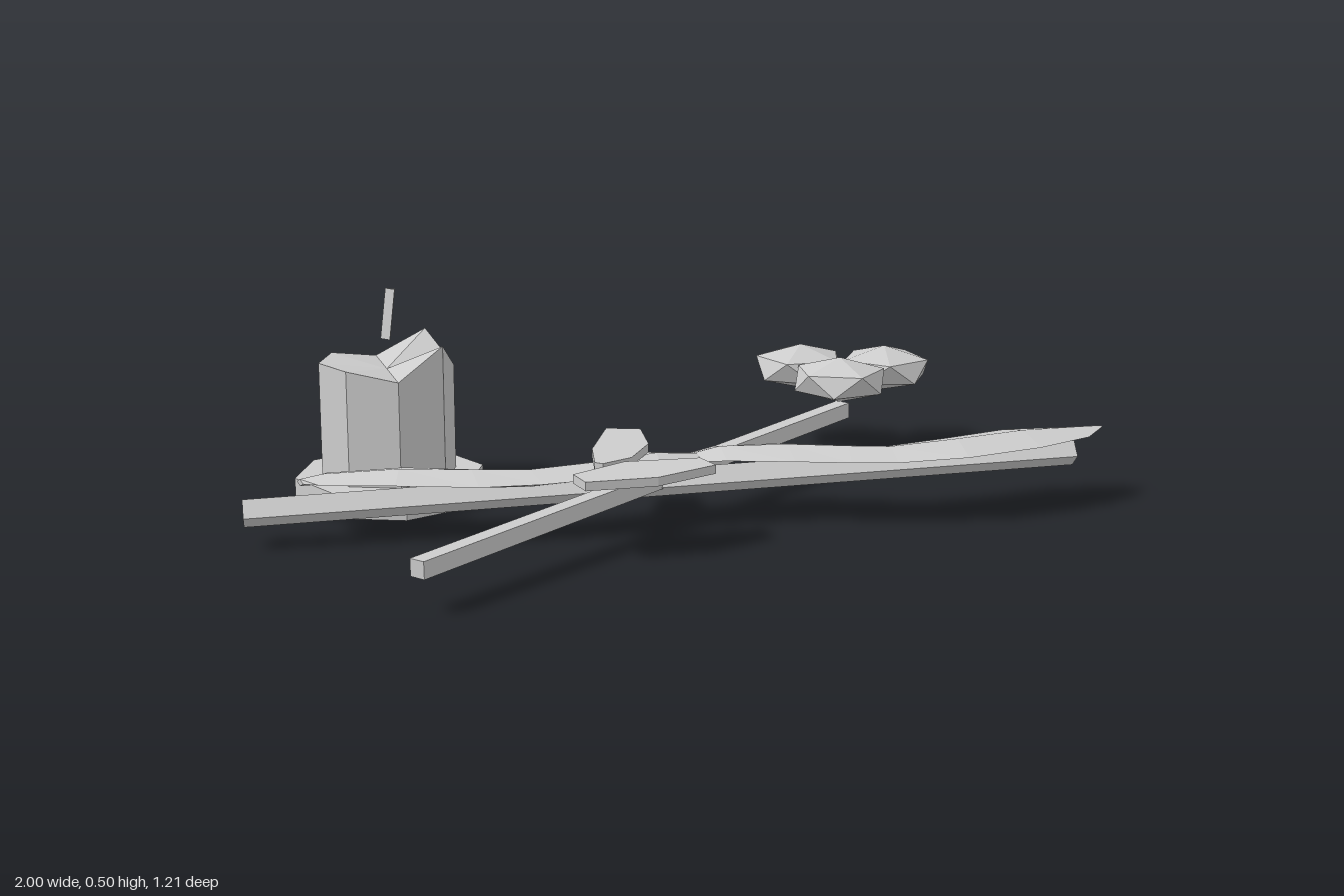
import * as THREE from 'three';

const wax = new THREE.MeshStandardMaterial({ color: 0xcccccc, flatShading: true });
wax.name = 'pale grey';

export function createModel() {
  const model = new THREE.Group();
  model.name = 'candleAndBranches';

  const add = (name, geometry, x = 0, y = 0, z = 0) => {
    const mesh = new THREE.Mesh(geometry, wax);
    mesh.name = name;
    mesh.position.set(x, y, z);
    model.add(mesh);
    return mesh;
  };

  // Straight prism between two points
  const rod = (name, from, to, radius, sides, roll) => {
    const a = new THREE.Vector3(...from), b = new THREE.Vector3(...to);
    const geometry = new THREE.CylinderGeometry(radius, radius, a.distanceTo(b), sides);
    geometry.rotateY(roll);
    const mesh = add(name, geometry);
    mesh.position.copy(a).lerp(b, 0.5);
    mesh.quaternion.setFromUnitVectors(new THREE.Vector3(0, 1, 0), b.sub(a).normalize());
  };

  // Long leaf: each row is back x, back z, front x, front z, height, half thickness
  const leaf = (name, rows) => {
    const points = [], index = [];
    rows.forEach(([bx, bz, fx, fz, y, h], i) => {
      const mx = (bx + fx) / 2, mz = (bz + fz) / 2;
      points.push(bx, y, bz, mx, y + h, mz, fx, y, fz, mx, y - h, mz);
      if (i === 0) return;
      for (let j = 0; j < 4; j++) {
        const k = (j + 1) % 4, p = (i - 1) * 4, q = i * 4;
        index.push(p + j, p + k, q + k, p + j, q + k, q + j);
      }
    });
    const e = (rows.length - 1) * 4;
    index.push(0, 2, 1, 0, 3, 2, e, e + 1, e + 2, e, e + 2, e + 3);
    const geometry = new THREE.BufferGeometry();
    geometry.setAttribute('position', new THREE.Float32BufferAttribute(points, 3));
    geometry.setIndex(index);
    geometry.computeVertexNormals();
    add(name, geometry);
  };

  // Small slab leaf from an outline of x, z pairs
  const slab = (name, outline, y) => {
    const shape = new THREE.Shape(outline.map(([x, z]) => new THREE.Vector2(x, -z)));
    const geometry = new THREE.ExtrudeGeometry(shape, { depth: 0.02, bevelEnabled: false });
    geometry.rotateX(-Math.PI / 2);
    add(name, geometry, 0, y, 0);
  };

  // Candle with an uneven melted rim
  add('candleBase', new THREE.CylinderGeometry(0.225, 0.225, 0.06, 8), -0.62, 0.03, -0.32);
  const candle = new THREE.CylinderGeometry(0.16, 0.16, 0.26, 8).translate(0, 0.19, 0);
  const pos = candle.attributes.position;
  for (let i = 0; i < pos.count; i++) {
    if (pos.getY(i) < 0.2) continue;
    const x = pos.getX(i), z = pos.getZ(i);
    const corner = Math.abs(x) > 0.05 && Math.abs(z) > 0.05;
    pos.setY(i, corner && x > 0 ? 0.38 : x < -0.05 ? 0.333 : 0.31);
  }
  candle.computeVertexNormals();
  add('candle', candle, -0.62, 0, -0.32);
  rod('wick', [-0.617, 0.38, -0.324], [-0.601, 0.498, -0.334], 0.015, 3, 0.3);

  // Crossed sticks
  rod('longStick', [-1, 0.0775, 0.0125], [0.9, 0.13, 0.215], 0.033, 4, 0);
  rod('berryStick', [-0.715, 0.095, 0.58], [0.527, 0.135, -0.32], 0.027, 4, Math.PI / 4 + 0.63);

  // Long leaves
  leaf('rightLeaf', [
    [-0.87, -0.07, -0.86, -0.04, 0.12, 0.008],
    [-0.8, -0.105, -0.83, 0, 0.125, 0.012],
    [-0.63, -0.065, -0.675, 0.09, 0.135, 0.018],
    [-0.5, -0.01, -0.5, 0.155, 0.135, 0.02],
    [-0.39, 0.045, -0.36, 0.17, 0.135, 0.02],
    [-0.22, 0.03, -0.24, 0.18, 0.14, 0.02],
    [-0.07, -0.005, -0.08, 0.165, 0.145, 0.02],
    [0.03, 0.01, 0.03, 0.1, 0.14, 0.01],
  ]);
  leaf('leftLeaf', [
    [0, 0.01, 0, 0.075, 0.135, 0.008],
    [0.09, -0.015, 0.08, 0.125, 0.145, 0.018],
    [0.24, 0.02, 0.22, 0.195, 0.15, 0.02],
    [0.38, 0.085, 0.34, 0.24, 0.15, 0.02],
    [0.46, 0.12, 0.44, 0.27, 0.15, 0.02],
    [0.62, 0.115, 0.6, 0.3, 0.158, 0.022],
    [0.78, 0.09, 0.79, 0.275, 0.162, 0.02],
    [0.93, 0.11, 0.94, 0.215, 0.162, 0.013],
    [1, 0.155, 1, 0.162, 0.17, 0.003],
  ]);

  // Small leaves over the crossing
  slab('crossingLeaf', [[-0.235, 0.215], [-0.16, 0.18], [-0.09, 0.07], [-0.07, -0.07],
    [-0.145, -0.1], [-0.185, -0.01], [-0.225, 0.08], [-0.25, 0.2]], 0.165);
  slab('frontLeaf', [[-0.31, 0.355], [-0.15, 0.36], [0, 0.295], [-0.015, 0.225],
    [-0.185, 0.21], [-0.32, 0.285]], 0.165);

  // Cluster of squashed berries
  const tilt = Math.atan2(1, (1 + Math.sqrt(5)) / 2);
  [[0.476, -0.498], [0.675, -0.42], [0.515, -0.315]].forEach(([x, z], i) => {
    const berry = new THREE.IcosahedronGeometry(1, 0);
    berry.rotateZ(-tilt).rotateY(0.3 + i * 0.4).scale(0.127, 0.057, 0.127);
    add('berry' + (i + 1), berry, x, 0.213, z);
  });

  return model;
}
